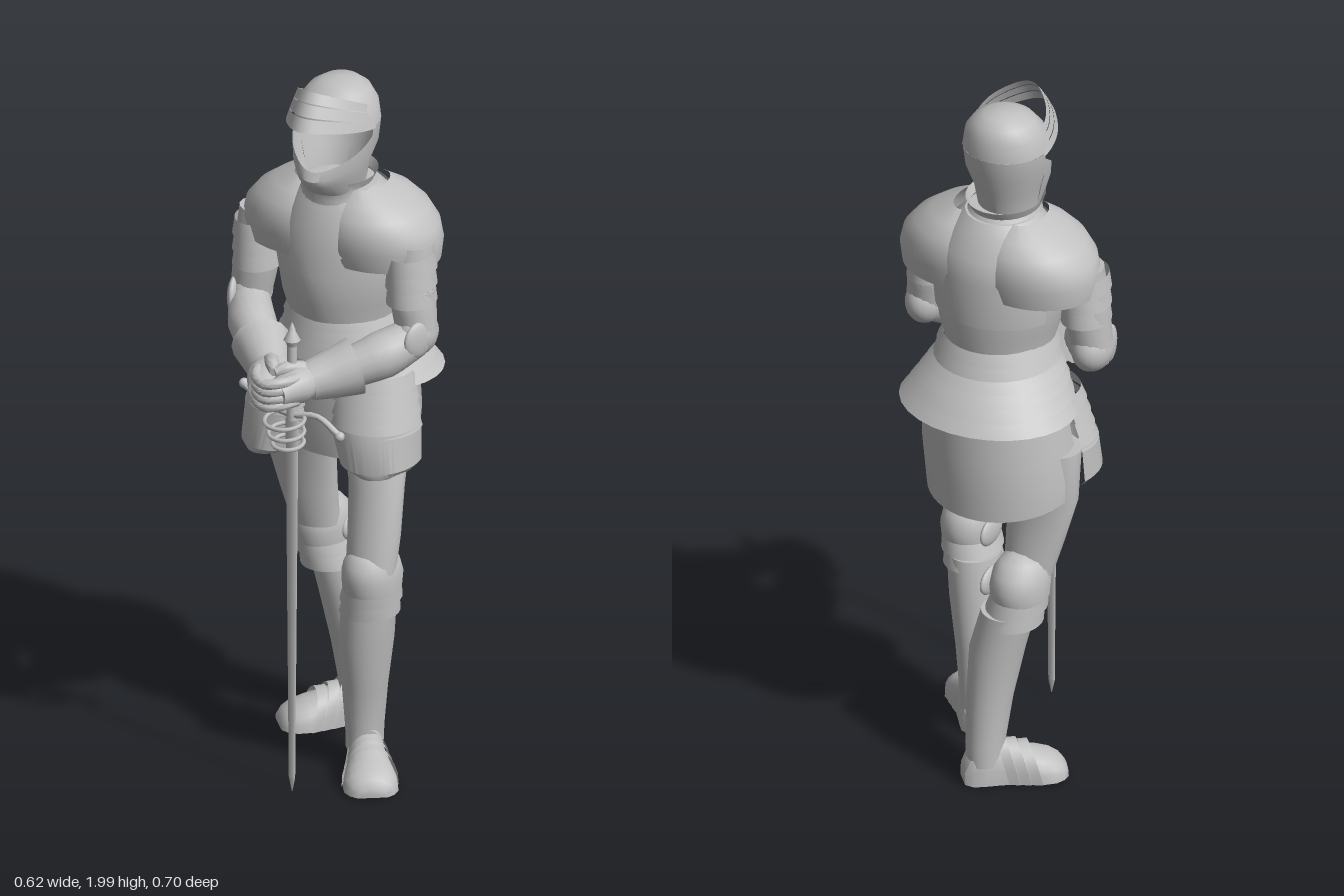
import * as THREE from 'three';
import { toCreasedNormals } from 'three/addons/utils/BufferGeometryUtils.js';

const steel = new THREE.MeshStandardMaterial({ color: 0xc0c0c0, side: THREE.DoubleSide });
steel.name = 'steel';
const V = (x, y, z) => new THREE.Vector3(x, y, z);
const UP = V(0, 1, 0);

export function createModel() {
  const root = new THREE.Group();
  root.name = 'suitOfArmour';

  const add = (name, geo, parent = root) => {
    const m = new THREE.Mesh(geo, steel);
    m.name = name;
    parent.add(m);
    return m;
  };

  // Skins a stack of rings of points; closed rings may be capped
  const skin = (name, rings, cap, parent) => {
    const n = rings[0].length, pos = [], idx = [];
    rings.forEach(r => r.forEach(p => pos.push(p.x, p.y, p.z)));
    for (let i = 0; i < rings.length - 1; i++)
      for (let j = 0; j < n - 1; j++) {
        const a = i * n + j, b = a + n;
        idx.push(a, a + 1, b, a + 1, b + 1, b);
      }
    if (cap) [0, rings.length - 1].forEach((i, top) => {
      const c = rings[i].slice(1).reduce((s, p) => s.add(p), V(0, 0, 0)).divideScalar(n - 1);
      const k = pos.length / 3;
      pos.push(c.x, c.y, c.z);
      for (let j = 0; j < n - 1; j++) {
        const a = i * n + j;
        top ? idx.push(a, a + 1, k) : idx.push(a + 1, a, k);
      }
    });
    const g = new THREE.BufferGeometry();
    g.setAttribute('position', new THREE.Float32BufferAttribute(pos, 3));
    g.setIndex(idx);
    return add(name, toCreasedNormals(g, 0.7), parent);
  };

  // Plate from level ellipses, bottom to top: [y, cx, cz, rx, rz, tilt, keel, vDrop]; angle 0 faces front
  const shell = (name, rows, { from = -180, to = 180, cap = false } = {}) => {
    const n = 28;
    return skin(name, rows.map(([y, cx, cz, rx, rz, tilt = 0, keel = 0, drop = 0]) =>
      Array.from({ length: n + 1 }, (_, j) => {
        const a = THREE.MathUtils.degToRad(from + (to - from) * j / n);
        const k = Math.max(0, Math.cos(a)) ** 8, dz = rz * Math.cos(a) + keel * k;
        return V(cx + rx * Math.sin(a), y + tilt * dz - drop * k, cz + dz);
      })), cap);
  };

  // Overlapping bands between two or more rows, each one slightly flared at its lower edge
  const lames = (name, rows, n, flare, opts) => {
    const at = t => {
      const f = Math.min(t * (rows.length - 1), rows.length - 1.0001), i = Math.floor(f);
      return rows[i].map((v, k) => THREE.MathUtils.lerp(v, rows[i + 1][k], f - i));
    };
    for (let i = 0; i < n; i++) {
      const lo = at(i / n), hi = at((i + 1) / n);
      lo[3] += flare; lo[4] += flare;
      shell(name, [lo, hi], opts);
    }
  };

  // Round limb along a path, with a radius at each point
  const limb = (name, pts, radii, flat = 1) => {
    const path = new THREE.CatmullRomCurve3(pts.map(p => V(...p)));
    const m = (pts.length - 1) * 4, n = 16;
    const rings = Array.from({ length: m + 1 }, (_, i) => {
      const t = i / m, f = Math.min(t * (pts.length - 1), pts.length - 1.0001), k = Math.floor(f);
      const r = THREE.MathUtils.lerp(radii[k], radii[k + 1], f - k), c = path.getPoint(t);
      const q = new THREE.Quaternion().setFromUnitVectors(UP, path.getTangent(t));
      return Array.from({ length: n + 1 }, (_, j) => {
        const a = j / n * Math.PI * 2;
        return V(r * Math.sin(a), 0, r * flat * Math.cos(a)).applyQuaternion(q).add(c);
      });
    });
    return skin(name, rings, true);
  };

  const ball = (name, p, s) => {
    const m = add(name, new THREE.SphereGeometry(1, 20, 14));
    m.position.set(...p);
    m.scale.set(...s);
    return m;
  };

  // Helmet: hollow, with the face open
  shell('helmetSkull', [[1.87, 0, -.05, .117, .115], [1.92, 0, -.055, .108, .106], [1.955, 0, -.062, .083, .083],
    [1.975, 0, -.068, .05, .05], [1.983, 0, -.07, .001, .001]]);
  shell('helmetBack', [[1.69, 0, -.035, .082, .088], [1.75, 0, -.035, .092, .1], [1.81, 0, -.045, .112, .112],
    [1.87, 0, -.05, .117, .115]], { from: 85, to: 275 });
  shell('bevor', [[1.68, 0, -.03, .08, .085], [1.73, 0, -.03, .094, .112, -.1, .015],
    [1.79, 0, -.035, .11, .118, -.4, .02], [1.85, 0, -.04, .117, .115, -.7, .015]], { from: -92, to: 92 });
  // Raised visor in three slatted bands
  for (let i = 0; i < 3; i++) {
    const row = t => [1.865 + .07 * t, 0, -.035, .12 - .022 * t, .16 - .06 * t, .2 + .32 * t, .028 - .012 * t];
    shell('visorBand', [row(i / 3), row((i + .9) / 3)], { from: -95, to: 95 });
  }
  shell('gorget', [[1.62, 0, -.08, .14, .13], [1.66, 0, -.065, .108, .11], [1.69, 0, -.052, .094, .104], [1.715, 0, -.052, .105, .118]]);

  // Cuirass
  shell('cuirass', [[1.2, 0, -.085, .14, .13], [1.28, 0, -.083, .143, .143], [1.36, 0, -.08, .168, .158, 0, .008],
    [1.45, 0, -.08, .185, .163, 0, .008], [1.55, 0, -.084, .185, .158], [1.63, 0, -.08, .15, .135], [1.68, 0, -.07, .1, .1]], { cap: true });
  shell('upperBreastplate', [[1.53, 0, -.082, .192, .166, 0, .006, .035], [1.58, 0, -.082, .182, .16, 0, .003], [1.645, 0, -.08, .145, .135]], { from: -65, to: 65 });
  shell('backplate', [[1.4, 0, -.075, .18, .172], [1.53, 0, -.08, .192, .17], [1.6, 0, -.08, .175, .158], [1.66, 0, -.076, .13, .12]], { from: 110, to: 250 });
  // Flared skirt of hoops and the rounded plate behind
  lames('fauldHoop', [[1.12, 0, -.142, .243, .2], [1.19, 0, -.115, .2, .185], [1.25, 0, -.095, .165, .165], [1.32, 0, -.088, .15, .155]], 6, .008);
  shell('rearSkirt', [[.86, -.018, -.095, .208, .195, .15], [.91, -.015, -.093, .212, .198, .08], [1.0, -.005, -.1, .208, .195], [1.16, 0, -.11, .19, .175]], { from: 74, to: 286 });
  shell('mailSkirt', [[.9, 0, -.05, .15, .085], [1.02, 0, -.06, .18, .11], [1.18, 0, -.08, .18, .13]]);

  for (const s of [1, -1]) {
    const P = (x, y, z) => [x * s, y, z];
    const arc = (from, to) => s > 0 ? { from, to } : { from: -to, to: -from };
    // Thigh plates hung from the skirt
    const hip = s > 0 ? -.012 : 0;
    lames('tassetBand', [[1.0, (.135 + hip) * s, -.04, .122, .118], [1.16, .105 * s, -.055, .115, .1]], 4, .006, arc(-75, 110));
    shell('tassetPlate', [[.885, (.175 + hip) * s, -.03, .07, .115], [.905, (.158 + hip) * s, -.03, .105, .128], [1.01, (.135 + hip) * s, -.04, .125, .123]], arc(-75, 110));
    // Shoulder plate wrapping from breast to back
    shell('pauldron', [[1.485, .105 * s, -.082, .178, .145], [1.54, .1 * s, -.08, .19, .157], [1.585, .1 * s, -.08, .178, .158],
      [1.625, .095 * s, -.08, .15, .147], [1.66, .09 * s, -.08, .105, .118], [1.69, .085 * s, -.075, .045, .075]], arc(-8, 188));
    // Upper arm with bands
    limb('upperArm', [P(.23, 1.55, -.045), P(.24, 1.42, -.035), P(.256, 1.3, -.03)], [.062, .064, .056]);
    lames('upperArmBand', [[1.39, .238 * s, -.033, .06, .072], [1.53, .234 * s, -.035, .062, .078]], 3, .006);
    // Elbow
    ball('elbowCop', P(.256, 1.3, -.03), [.055, .066, .07]);
    ball('elbowWing', P(.285, 1.3, .012), [.016, .052, .05]).rotation.y = -.3 * s;
    // Forearm, cuff, hand and fingers
    limb('forearm', [P(.256, 1.29, -.02), P(.2, 1.255, .06), P(.11, 1.215, .15)], [.055, .066, .05]);
    limb('gauntletCuff', [P(.145, 1.23, .11), P(.1, 1.215, .16), P(.06, 1.205, .21)], [.08, .067, .054]);
    limb('gauntletHand', [P(.055, 1.208, .195), P(.042, 1.205, .25), P(.02, 1.2, .315)], [.054, .058, .04], .9);
    for (let i = 0; i < 4; i++) {
      const y = 1.238 - i * .022;
      limb('finger', [P(.06, y, .27), P(.04, y, .315), P(0, y - .005, .338), P(-.03, y - .008, .315)], [.015, .015, .014, .011]);
    }
    limb('thumb', [P(.05, 1.245, .22), P(.022, 1.255, .26), P(0, 1.248, .285)], [.021, .019, .013]);
  }

  // Legs: the left one stands forward, the right one back
  const legs = [
    { side: 1, thigh: [[.62, .172, .07, .07, .06], [.72, .172, .052, .075, .06], [.85, .16, .018, .08, .058], [.99, .13, -.03, .1, .075]],
      knee: [.168, .055], shin: [[.06, .115, .005, .048, .058], [.12, .115, .004, .05, .06], [.25, .122, .015, .06, .07], [.4, .135, .03, .073, .084], [.52, .148, .035, .072, .078]],
      foot: [.115, 0, 35] },
    { side: -1, thigh: [[.62, -.113, -.125, .07, .055], [.72, -.125, -.11, .085, .055], [.85, -.138, -.092, .105, .056], [.99, -.13, -.075, .11, .08]],
      knee: [-.11, -.165], shin: [[.06, -.04, -.235, .05, .055], [.12, -.04, -.23, .053, .058], [.25, -.043, -.212, .062, .068], [.4, -.058, -.197, .075, .078], [.52, -.088, -.188, .074, .076]],
      foot: [-.038, -.238, -48] },
  ];
  // Shoe sections from heel to toe: [z, half width, height]
  const shoeRows = [[-.056, .03, .06], [-.035, .048, .11], [0, .051, .13], [.03, .052, .122], [.06, .054, .108],
    [.1, .064, .09], [.15, .074, .075], [.185, .073, .062], [.21, .06, .045], [.225, .04, .025]];
  for (const { side, thigh, knee: [kx, kz], shin, foot } of legs) {
    shell('cuisse', thigh, { cap: true });
    shell('greave', shin, { cap: true });
    shell('kneeCop', [[.56, kx, kz, .076, .09], [.6, kx, kz, .078, .097], [.64, kx, kz + .005, .072, .088],
      [.67, kx, kz + .008, .055, .062], [.685, kx, kz + .01, .022, .028]], { cap: true });
    lames('kneeBand', [[.485, kx - .015 * side, kz - .012, .072, .082], [.57, kx, kz, .074, .09]], 2, .008);
    ball('kneeWing', [kx - .076 * side, .595, kz - .025], [.014, .04, .055]);

    // Armoured shoe with bands over the instep
    const shoe = new THREE.Group();
    shoe.name = 'shoe';
    shoe.position.set(foot[0], .005, foot[1]);
    shoe.rotation.y = THREE.MathUtils.degToRad(foot[2]);
    root.add(shoe);
    const arch = ([z, w, h], lean = 0) => Array.from({ length: 25 }, (_, j) => {
      const a = j / 24 * Math.PI * 2, y = h * Math.max(0, Math.sin(a)) ** .8;
      return V(w * Math.cos(a), y, z - y * lean);
    });
    skin('shoeBody', shoeRows.map(r => arch(r)), true, shoe);
    for (const [z, w, h] of [[.06, .054, .125], [.09, .061, .112], [.12, .068, .1]])
      skin('shoeBand', [arch([z, w, h], .25).slice(0, 13), arch([z + .028, w + .009, h - .004], .25).slice(0, 13)], false, shoe);
  }

  // Sword, point down
  const sword = new THREE.Group();
  sword.name = 'sword';
  sword.position.set(.03, 0, .245);
  root.add(sword);
  const rod = (name, r1, r2, y0, y1, sides = 12) => {
    const m = add(name, new THREE.CylinderGeometry(r1, r2, y1 - y0, sides), sword);
    m.position.y = (y0 + y1) / 2;
    return m;
  };
  rod('blade', .02, .01, .04, 1.1, 4).scale.z = .25;
  rod('bladePoint', .01, .001, 0, .04, 4).scale.z = .25;
  rod('grip', .013, .015, 1.1, 1.32);
  rod('pommelNeck', .02, .012, 1.315, 1.335);
  rod('pommel', .008, .023, 1.335, 1.365);
  rod('pommelTip', .002, .01, 1.365, 1.385);
  limb('crossguard', [[-.115, 1.17, .245], [-.05, 1.13, .245], [.03, 1.115, .245], [.11, 1.125, .245], [.175, 1.085, .245]],
    [.012, .008, .01, .008, .01]);
  ball('guardKnobRight', [-.118, 1.172, .245], [.014, .014, .014]);
  ball('guardKnobLeft', [.177, 1.083, .245], [.014, .014, .014]);
  [1.04, 1.075, 1.115].forEach((y, i) => {
    const ring = add('guardRing', new THREE.TorusGeometry(.042 + i * .006, .006, 6, 24), sword);
    ring.position.set(0, y, .02 + i * .01);
    ring.rotation.x = Math.PI / 2 + .12;
  });
  return root;
}
